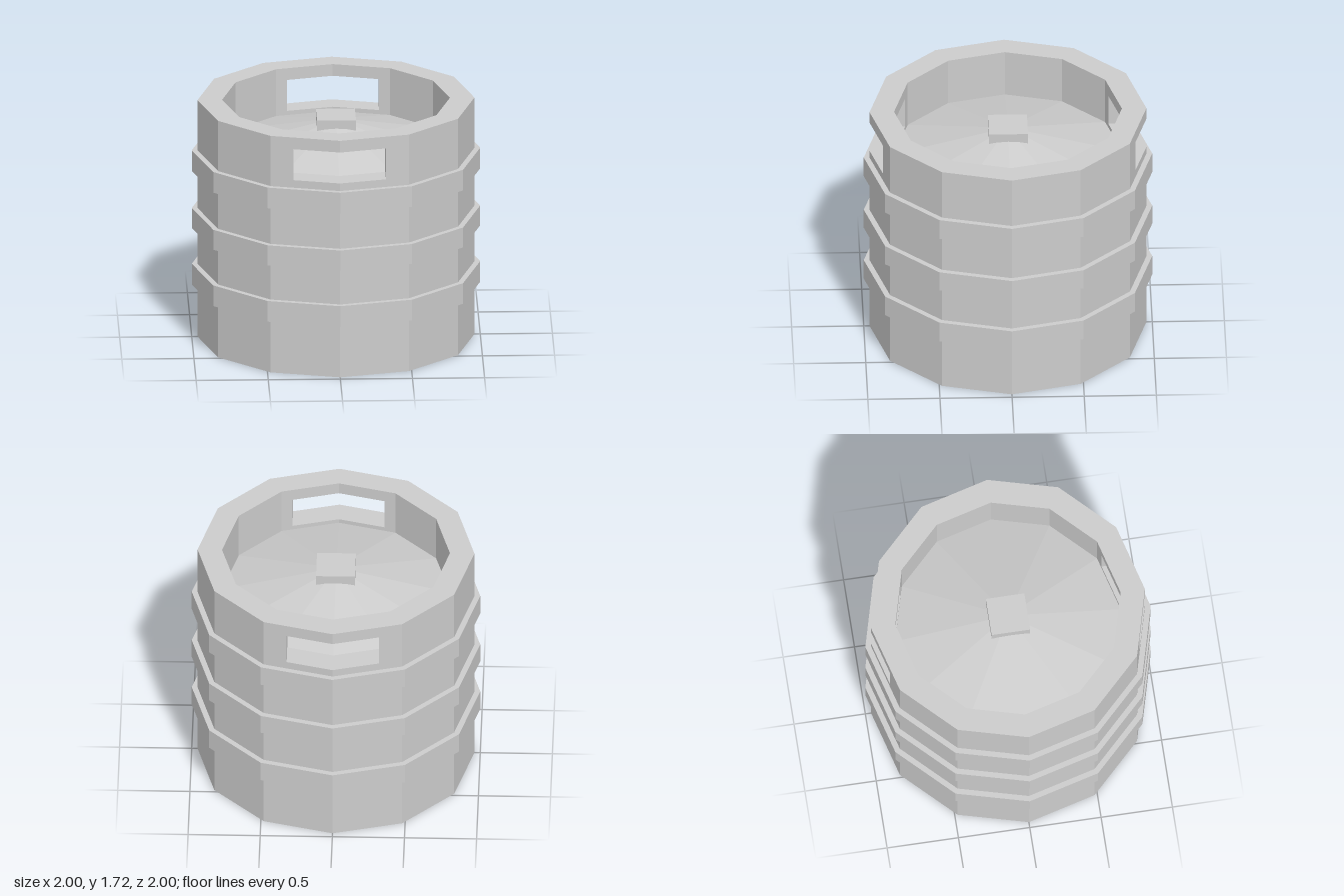
import * as THREE from 'three';

const SIDES = 12;
const OUTER = 0.96, INNER = 0.79, BAND = 1.0;
const TOP = 1.72, RIM_BASE = 1.355, DOME_EDGE = 1.38, DOME_TOP = 1.58;
const SILL = 1.41, LINTEL = 1.635, HALF_WINDOW = 0.32;

// Twelve-sided outline, with extra points where the handle openings start and end
function outline(r) {
  const pts = [];
  for (let k = 0; k < SIDES; k++) {
    const a = (k / SIDES) * Math.PI * 2;
    pts.push([r * Math.sin(a), r * Math.cos(a)]);
    if (k % 6 === 0 || k % 6 === 5) {
      const sx = k < 6 ? 1 : -1, sz = k < 3 || k > 8 ? 1 : -1;
      pts.push([sx * HALF_WINDOW, sz * (r - HALF_WINDOW * Math.tan(Math.PI / SIDES))]);
    }
  }
  return pts;
}

// Thick collar with a handle opening at the front and the back
function rimGeometry() {
  const out = outline(OUTER), inn = outline(INNER), n = out.length;
  const pos = [];
  const at = (p, y) => [p[0], y, p[1]];
  const quad = (a, b, c, d) => pos.push(...a, ...b, ...c, ...a, ...c, ...d);
  const wall = (a, b, y0, y1) => quad(at(a, y0), at(b, y0), at(b, y1), at(a, y1));

  for (let i = 0; i < n; i++) {
    const j = (i + 1) % n;
    const [oa, ob, ia, ib] = [out[i], out[j], inn[i], inn[j]];
    const open = i % 8 === 0 || i % 8 === 7;
    const up = (y) => quad(at(oa, y), at(ob, y), at(ib, y), at(ia, y));
    if (open) {
      wall(oa, ob, RIM_BASE, SILL);
      wall(oa, ob, LINTEL, TOP);
      wall(ib, ia, DOME_EDGE, SILL);
      wall(ib, ia, LINTEL, TOP);
      up(SILL);
      quad(at(ia, LINTEL), at(ib, LINTEL), at(ob, LINTEL), at(oa, LINTEL));
    } else {
      wall(oa, ob, RIM_BASE, TOP);
      wall(ib, ia, DOME_EDGE, TOP);
    }
    up(TOP);
    // Upright sides of the openings
    if (i % 8 === 1) wall(ia, oa, SILL, LINTEL);
    if (i % 8 === 7) wall(oa, ia, SILL, LINTEL);
  }
  const g = new THREE.BufferGeometry();
  g.setAttribute('position', new THREE.Float32BufferAttribute(pos, 3));
  g.computeVertexNormals();
  return g;
}

export function createModel() {
  const group = new THREE.Group();
  group.name = 'keg';
  const material = new THREE.MeshStandardMaterial({ color: 0xcccccc, flatShading: true });

  const add = (name, geometry) => {
    const mesh = new THREE.Mesh(geometry, material);
    mesh.name = name;
    group.add(mesh);
    return mesh;
  };
  const lathe = (profile) =>
    new THREE.LatheGeometry(profile.map(([x, y]) => new THREE.Vector2(x, y)), SIDES);

  // Body with three raised bands
  const profile = [[0, 0], [OUTER, 0]];
  for (const [y0, y1] of [[0.38, 0.53], [0.79, 0.935], [1.205, RIM_BASE]]) {
    profile.push([OUTER, y0], [BAND, y0], [BAND, y1], [OUTER, y1]);
  }
  add('body', lathe(profile));

  add('handleRim', rimGeometry());

  // Shallow sloping lid inside the rim
  add('lid', lathe([[INNER, DOME_EDGE], [0, DOME_TOP]]));

  // Square valve cap
  add('valveCap', new THREE.BoxGeometry(0.27, 0.105, 0.27)).position.y = 1.5525;

  return group;
}
